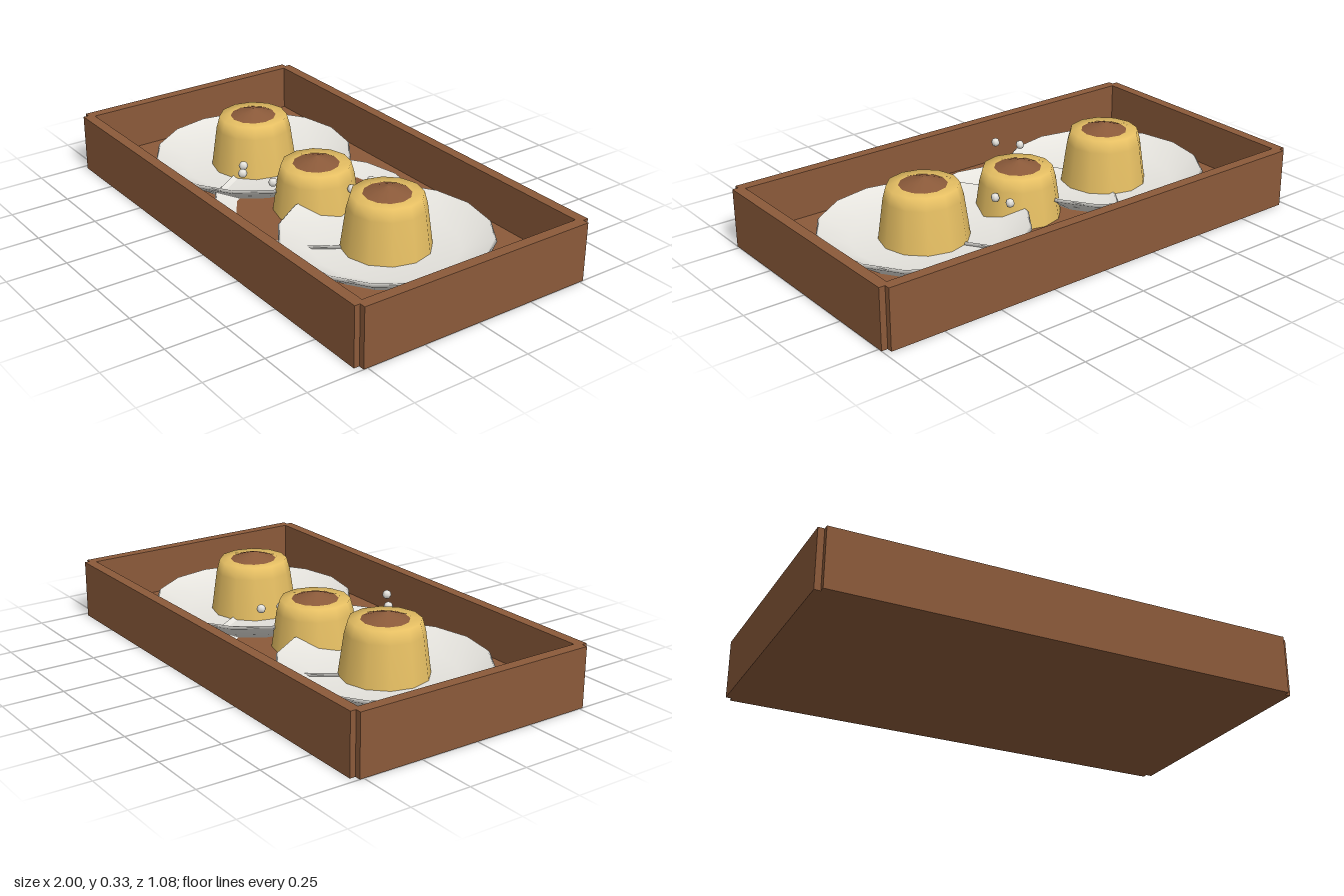
import * as THREE from 'three';

export function createModel() {
  const model = new THREE.Group();
  const mat = (name, color, side = THREE.FrontSide) => {
    const m = new THREE.MeshStandardMaterial({ color, side });
    m.name = name;
    return m;
  };
  const wood = mat('brown', 0x8b5a3a);
  const custard = mat('custard', 0xe6bf63);
  const china = mat('china', 0xf0eee8);

  const add = (parent, name, geometry, material, x = 0, y = 0, z = 0) => {
    const mesh = new THREE.Mesh(geometry, material);
    mesh.name = name;
    mesh.position.set(x, y, z);
    parent.add(mesh);
    return mesh;
  };
  const lathe = (points, sides) =>
    new THREE.LatheGeometry(points.map(([r, y]) => new THREE.Vector2(r, y)), sides);

  // Tray: floor and four walls with notched corners
  const tray = new THREE.Group();
  tray.name = 'tray';
  model.add(tray);
  add(tray, 'floor', new THREE.BoxGeometry(1.94, 0.05, 1.02), wood, 0, 0.025, 0);
  for (const s of [-1, 1]) {
    add(tray, 'longWall', new THREE.BoxGeometry(1.95, 0.245, 0.045), wood, 0, 0.1225, s * 0.5175);
    add(tray, 'endWall', new THREE.BoxGeometry(0.045, 0.245, 1.034), wood, s * 0.9775, 0.1225, 0);
  }

  // Shared profiles for the three servings
  const plateGeo = lathe([[0, 0], [0.3, 0], [0.42, 0.08], [0.41, 0.09], [0.29, 0.03], [0, 0.03]], 16);
  const puddingGeo = lathe([[0.18, 0.03], [0.156, 0.2], [0.142, 0.25], [0.09, 0.25]], 12);
  const caramelGeo = lathe([[0.098, 0.249], [0.05, 0.266], [0, 0.28]], 12);

  // The outer plates rest on the floor, the middle one is sunk into it
  for (const [x, y] of [[-0.46, 0.05], [0, 0], [0.46, 0.05]]) {
    const serving = new THREE.Group();
    serving.name = 'serving';
    serving.position.set(x, y, 0);
    model.add(serving);
    add(serving, 'plate', plateGeo, china);
    add(serving, 'pudding', puddingGeo, custard);
    add(serving, 'caramelTop', caramelGeo, wood);
  }

  // Small floating droplets
  const dropGeo = new THREE.SphereGeometry(0.019, 6, 4);
  const drops = [
    [-0.105, 0.24, 0.283], [-0.19, 0.226, 0.225], [-0.09, 0.17, 0.15],
    [0.16, 0.19, -0.155], [0.16, 0.18, -0.06],
  ];
  for (const [x, y, z] of drops) add(model, 'droplet', dropGeo, china, x, y, z);

  return model;
}
